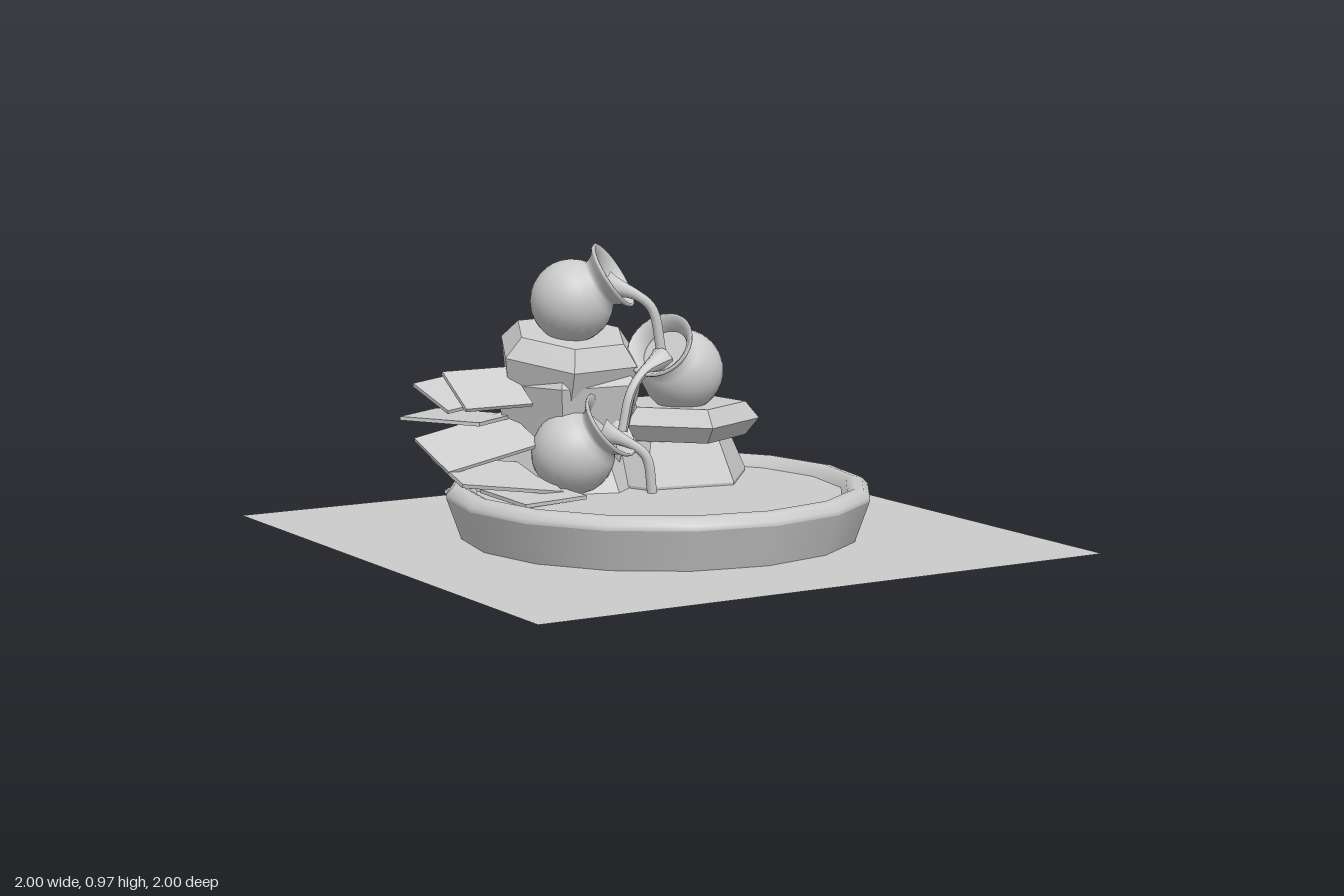
import * as THREE from 'three';

const DEG = Math.PI / 180;
const smooth = new THREE.MeshStandardMaterial({ color: 0xcccccc, side: THREE.DoubleSide });
const faceted = new THREE.MeshStandardMaterial({ color: 0xcccccc, side: THREE.DoubleSide, flatShading: true });
const V2 = (p) => new THREE.Vector2(p[0], p[1]);
const V3 = (p) => new THREE.Vector3(...p);

function add(parent, name, geometry, material, pos = [0, 0, 0], rot = [0, 0, 0]) {
  const mesh = new THREE.Mesh(geometry, material);
  mesh.name = name;
  mesh.position.set(...pos);
  mesh.rotation.set(...rot.map((a) => a * DEG));
  parent.add(mesh);
}

// Faceted stone: profile of [radius, height] turned around a few sides
function stone(parent, name, profile, sides, pos, rot, turn) {
  const geo = new THREE.LatheGeometry(profile.map(V2), sides);
  geo.rotateY(turn * DEG);
  add(parent, name, geo, faceted, pos, rot);
}

// Round pot with a flared open mouth, leaning along dir
function pot(parent, name, center, dir) {
  const group = new THREE.Group();
  group.name = name;
  const r = 0.135;
  const profile = [];
  for (let i = 0; i <= 12; i++) {
    const a = (i / 12) * 143 * DEG;
    profile.push([r * Math.sin(a), -r * Math.cos(a)]);
  }
  profile.push([0.086, 0.122], [0.096, 0.137], [0.115, 0.153], [0.118, 0.162], [0.11, 0.165],
    [0.092, 0.148], [0.08, 0.125], [0.078, 0.11], [0.09, 0.08]);
  add(group, 'potBody', new THREE.LatheGeometry(profile.map(V2), 28), smooth);
  add(group, 'potWater', new THREE.CircleGeometry(0.082, 24), smooth, [0, 0.115, 0], [-90, 0, 0]);
  group.position.set(...center);
  group.quaternion.setFromUnitVectors(new THREE.Vector3(0, 1, 0), V3(dir).normalize());
  parent.add(group);
}

// Falling water: a tube that starts wide in the mouth and narrows
function stream(parent, points) {
  const curve = new THREE.CatmullRomCurve3(points.map(V3));
  const segments = 20, sides = 8;
  const geo = new THREE.TubeGeometry(curve, segments, 0.016, sides);
  const pos = geo.attributes.position;
  const v = new THREE.Vector3();
  for (let i = 0; i < pos.count; i++) {
    const t = Math.floor(i / (sides + 1)) / segments;
    const c = curve.getPointAt(t);
    v.fromBufferAttribute(pos, i).sub(c).multiplyScalar(1 + 1.8 * Math.max(0, 1 - 2.5 * t) ** 2).add(c);
    pos.setXYZ(i, v.x, v.y, v.z);
  }
  geo.computeVertexNormals();
  add(parent, 'waterStream', geo, smooth);
}

export function createModel() {
  const model = new THREE.Group();
  model.name = 'potFountain';

  // Ground sheet
  add(model, 'ground', new THREE.PlaneGeometry(2, 2), smooth, [0, 0.05, 0], [-90, 0, 0]);

  // Basin: full rim, wall open at the back, water up to the rim
  const basin = new THREE.Group();
  basin.name = 'basin';
  basin.position.set(0.01, 0, -0.01);
  model.add(basin);
  const rim = [[0.682, 0.18], [0.682, 0.195], [0.662, 0.215], [0.635, 0.22], [0.61, 0.208], [0.593, 0.18]];
  add(basin, 'basinRim', new THREE.LatheGeometry(rim.map(V2), 16), smooth);
  add(basin, 'basinWall',
    new THREE.LatheGeometry([[0.618, 0], [0.682, 0.18]].map(V2), 11, 225 * DEG, 247.5 * DEG), smooth);
  add(basin, 'basinWater', new THREE.CircleGeometry(0.6, 16), smooth, [0, 0.182, 0], [-90, 0, 0]);

  // Stone pile
  const rocks = new THREE.Group();
  rocks.name = 'rocks';
  model.add(rocks);
  stone(rocks, 'lowerBaseStone', [[0, 0.11], [0.29, 0.11], [0.3, 0.19], [0.235, 0.33], [0, 0.33]], 6,
    [0.19, 0, -0.29], [0, 0, 0], 20);
  stone(rocks, 'lowerCapStone', [[0, -0.055], [0.2, -0.055], [0.245, 0], [0.2, 0.055], [0, 0.055]], 5,
    [0.21, 0.385, -0.18], [0, 0, 0], -10);
  stone(rocks, 'rearBaseStone', [[0, 0.09], [0.26, 0.09], [0.28, 0.17], [0.2, 0.33], [0, 0.33]], 6,
    [-0.15, 0, -0.34], [0, 0, 0], 10);
  stone(rocks, 'middleStone', [[0, 0.22], [0.18, 0.22], [0.22, 0.33], [0.265, 0.52], [0.2, 0.6], [0, 0.6]], 6,
    [-0.13, 0, -0.34], [0, 0, 0], 25);
  stone(rocks, 'upperCapStone', [[0, -0.09], [0.225, -0.09], [0.245, 0.005], [0.19, 0.07], [0, 0.07]], 6,
    [-0.15, 0.61, -0.31], [11, 0, 0], 35);

  // Loose thin slabs: [width, depth, position, rotation]
  const slabs = [
    [0.24, 0.19, [-0.47, 0.52, -0.27], [32, 0, 0]],
    [0.25, 0.2, [-0.49, 0.5, -0.4], [20, 8, 4]],
    [0.3, 0.27, [-0.52, 0.42, -0.38], [2, 40, -4]],
    [0.34, 0.22, [-0.5, 0.35, -0.28], [22, 4, 10]],
    [0.36, 0.24, [-0.48, 0.255, -0.19], [14, -3, -8]],
    [0.24, 0.24, [-0.4, 0.2, -0.1], [4, 8, 0]],
    [0.3, 0.24, [-0.36, 0.19, -0.42], [-8, 40, 6]],
    [0.2, 0.2, [0.17, 0.54, -0.52], [-10, -28, -28]],
    [0.19, 0.17, [0.15, 0.5, -0.4], [12, 5, -28]],
    [0.36, 0.22, [-0.05, 0.17, -0.47], [-12, 5, 0]],
  ];
  for (const [w, d, pos, rot] of slabs) add(rocks, 'slab', new THREE.BoxGeometry(w, 0.012, d), faceted, pos, rot);

  // Pots and the water poured from one to the next
  pot(model, 'topPot', [-0.165, 0.785, -0.26], [0.1, 0.085, 0.09]);
  pot(model, 'middlePot', [0.175, 0.55, -0.14], [-0.11, 0.09, 0.05]);
  pot(model, 'bottomPot', [-0.22, 0.31, -0.16], [0.08, 0.095, 0.1]);
  stream(model, [[-0.08, 0.84, -0.19], [0.0, 0.805, -0.13], [0.045, 0.76, -0.11], [0.075, 0.61, -0.1]]);
  stream(model, [[0.08, 0.6, -0.1], [-0.01, 0.56, -0.08], [-0.06, 0.5, -0.07], [-0.09, 0.38, -0.07]]);
  stream(model, [[-0.15, 0.38, -0.1], [-0.08, 0.345, -0.05], [-0.03, 0.3, -0.025], [-0.01, 0.18, -0.02]]);

  return model;
}
